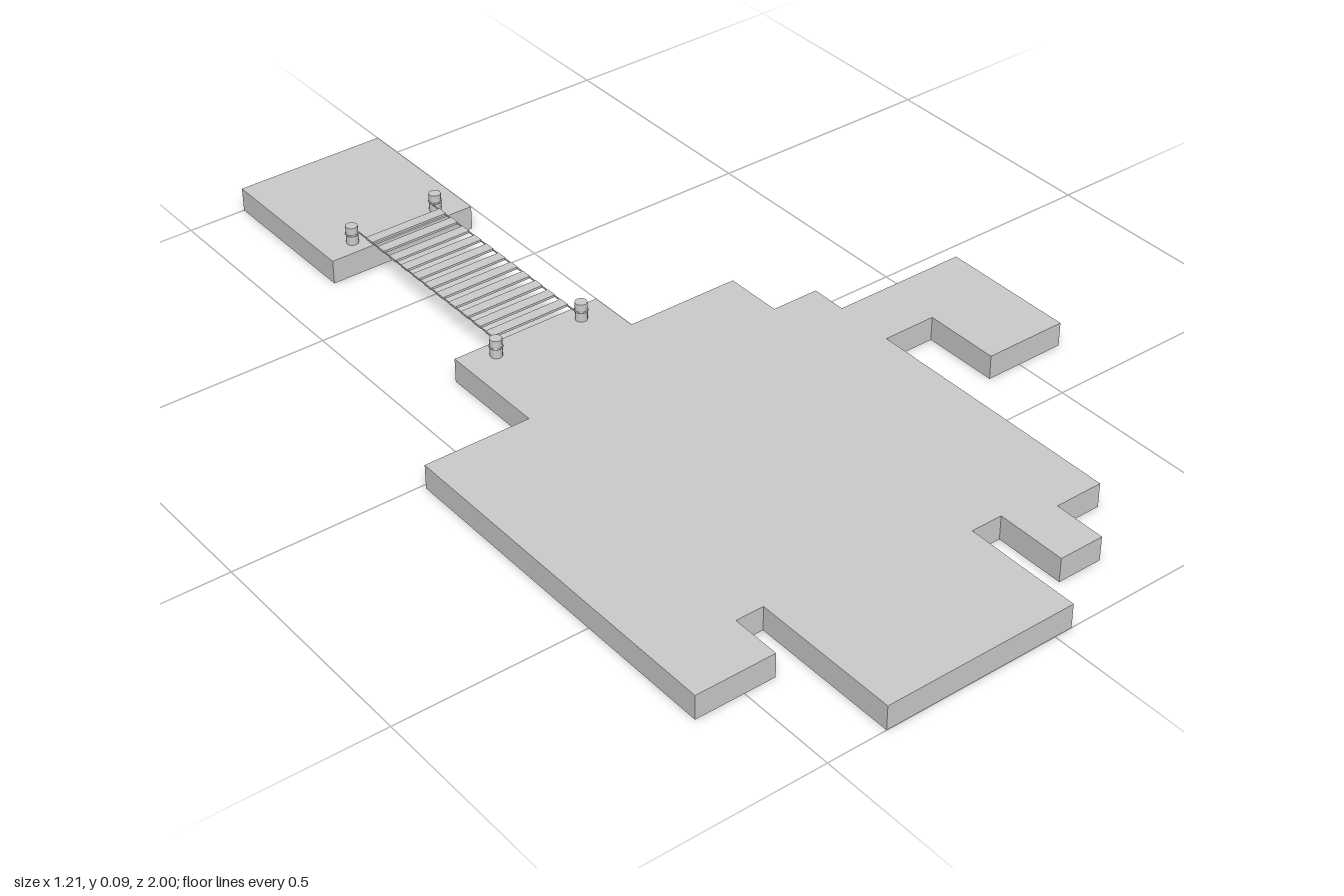
import * as THREE from 'three';

const material = new THREE.MeshStandardMaterial({ color: 0xcccccc, flatShading: true });
const THICK = 0.052;

// Flat slab from an outline of [x, z] corners, standing on the ground
function slab(name, outline) {
  const shape = new THREE.Shape(outline.map(([x, z]) => new THREE.Vector2(x, -z)));
  const geo = new THREE.ExtrudeGeometry(shape, { depth: THICK, bevelEnabled: false });
  geo.rotateX(-Math.PI / 2);
  const mesh = new THREE.Mesh(geo, material);
  mesh.name = name;
  return mesh;
}

function part(parent, name, geo, x, y, z) {
  const mesh = new THREE.Mesh(geo, material);
  mesh.name = name;
  mesh.position.set(x, y, z);
  parent.add(mesh);
}

export function createModel() {
  const model = new THREE.Group();
  model.name = 'platformsWithBridge';

  // Large stepped platform
  model.add(slab('mainPlatform', [
    [-0.375, -0.23], [-0.045, -0.23], [-0.045, -0.117], [0.203, -0.117],
    [0.203, 0.01], [0.307, 0.01], [0.307, 0.088], [0.603, 0.088],
    [0.603, 0.383], [0.423, 0.383], [0.423, 0.218], [0.307, 0.218],
    [0.307, 0.79], [0.203, 0.79], [0.203, 0.9], [0.106, 0.9],
    [0.106, 0.75], [0.038, 0.75], [0.038, 1], [-0.375, 1],
    [-0.375, 0.685], [-0.434, 0.685], [-0.434, 0.79], [-0.603, 0.79],
    [-0.603, 0.01], [-0.375, 0.01],
  ]));

  // Small square platform at the back
  model.add(slab('backPlatform', [[-0.375, -1], [-0.045, -1], [-0.045, -0.655], [-0.375, -0.655]]));

  // Bridge: planks carried by two ropes, tied to four posts
  const bridge = new THREE.Group();
  bridge.name = 'bridge';
  model.add(bridge);
  const deckY = 0.073;

  const plank = new THREE.BoxGeometry(0.175, 0.005, 0.023);
  for (let i = 0; i < 11; i++) part(bridge, 'plank', plank, -0.207, deckY, -0.645 + i * 0.0414);

  const post = new THREE.CylinderGeometry(0.0125, 0.0125, 0.041, 12);
  const tie = new THREE.TorusGeometry(0.0125, 0.002, 6, 12).rotateX(Math.PI / 2);
  const rope = new THREE.CylinderGeometry(0.0015, 0.0015, 0.5, 6).rotateX(Math.PI / 2);
  for (const side of [-1, 1]) {
    part(bridge, 'rope', rope, -0.207 + side * 0.0865, deckY, -0.44);
    for (const z of [-0.192, -0.69]) {
      const x = -0.207 + side * 0.099;
      part(bridge, 'post', post, x, 0.0705, z);
      part(bridge, 'ropeTie', tie, x, deckY, z);
    }
  }
  return model;
}
